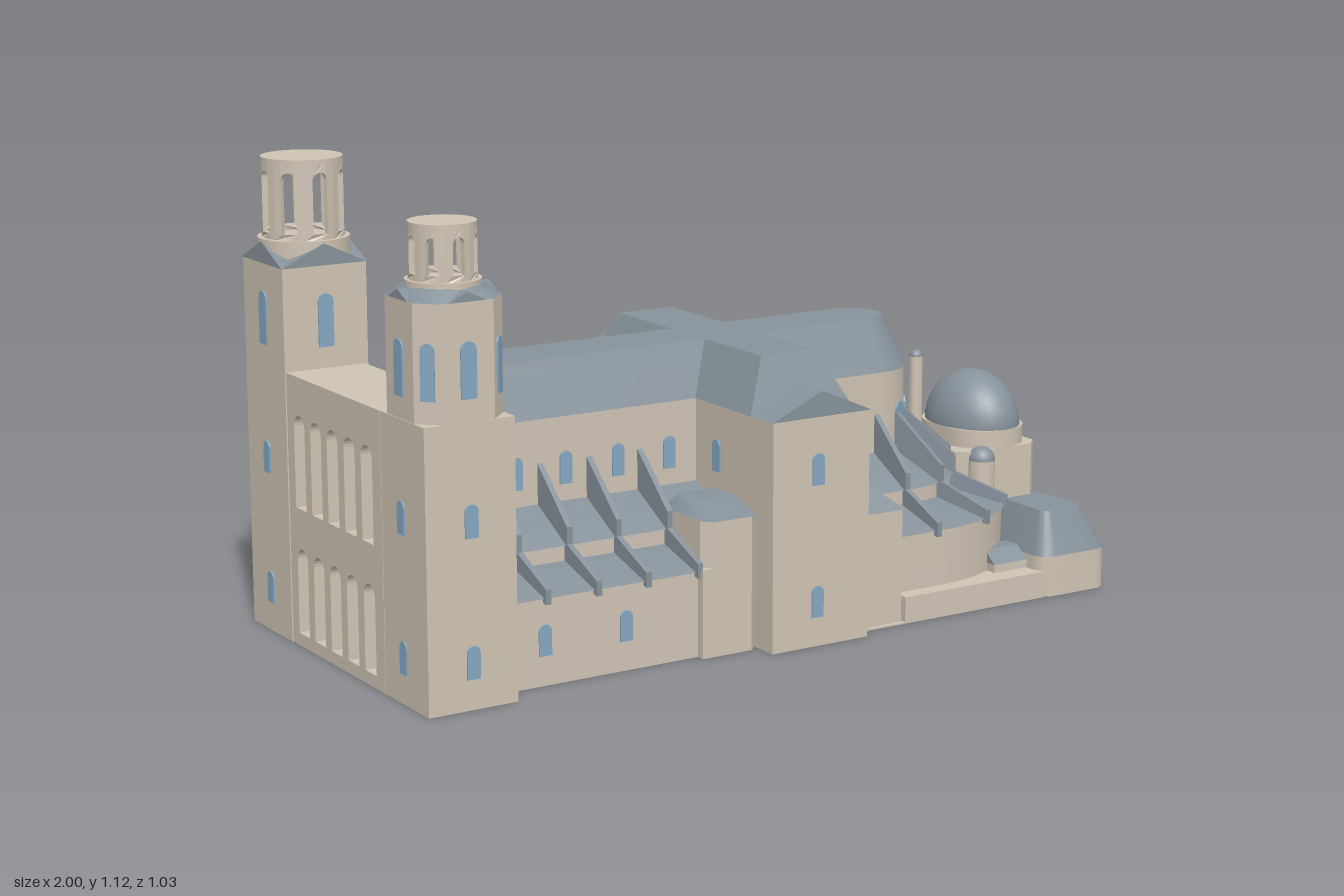
import * as THREE from 'three';
import { toCreasedNormals } from 'three/addons/utils/BufferGeometryUtils.js';

const mat = (color) => new THREE.MeshStandardMaterial({ color, side: THREE.DoubleSide });
const stone = mat(0xcfc4b4), slate = mat(0x87929b), glass = mat(0x86a8c2);

// Ground plans: lists of [x, z] running from +x towards +z.
function block(cx, cz, hx, hz, r = 0, n = 1) {
  const pts = [];
  [[1, -1], [1, 1], [-1, 1], [-1, -1]].forEach(([sx, sz], i) => {
    if (!r) return pts.push([cx + sx * hx, cz + sz * hz]);
    for (let k = 0; k <= n; k++) {
      const a = (i - 1 + k / n) * Math.PI / 2;
      pts.push([cx + sx * (hx - r) + r * Math.cos(a), cz + sz * (hz - r) + r * Math.sin(a)]);
    }
  });
  return pts;
}
const round = (cx, cz, r) => block(cx, cz, r, r, r, 8);
const APSE = 0.475;
function stadium(r, west = -0.745) {
  const pts = [[west, -r]];
  for (let k = 0; k <= 20; k++) {
    const a = (k / 20 - 0.5) * Math.PI;
    pts.push([APSE + r * Math.cos(a), r * Math.sin(a)]);
  }
  return [...pts, [west, r]];
}

// Stack of plans [plan, y] joined by walls and closed on top and bottom.
function loft(...levels) {
  const p = [];
  const at = (l, i) => { const [plan, y] = l, q = plan[i % plan.length]; return [q[0], y, q[1]]; };
  const n = levels[0][0].length;
  for (let l = 0; l + 1 < levels.length; l++) {
    const lo = levels[l], hi = levels[l + 1];
    for (let i = 0; i < n; i++)
      p.push(...at(lo, i), ...at(hi, i), ...at(hi, i + 1), ...at(lo, i), ...at(hi, i + 1), ...at(lo, i + 1));
  }
  for (const [l, top] of [[levels[0], false], [levels[levels.length - 1], true]]) {
    const c = [0, l[1], 0];
    l[0].forEach((q) => { c[0] += q[0] / n; c[2] += q[1] / n; });
    for (let i = 0; i < n; i++) p.push(...c, ...at(l, top ? i + 1 : i), ...at(l, top ? i : i + 1));
  }
  const g = new THREE.BufferGeometry();
  g.setAttribute('position', new THREE.Float32BufferAttribute(p, 3));
  g.computeVertexNormals();
  return toCreasedNormals(g, 0.5);
}

function add(parent, name, geo, material = stone) {
  const m = new THREE.Mesh(geo, material);
  m.name = name;
  parent.add(m);
  return m;
}
const prism = (parent, name, plan, y0, y1) => add(parent, name, loft([plan, y0], [plan, y1]));

function archPath(path, w, y0, y1, x = 0) {
  path.moveTo(x - w / 2, y0);
  path.lineTo(x + w / 2, y0);
  path.lineTo(x + w / 2, y1 - w / 2);
  path.absarc(x, y1 - w / 2, w / 2, 0, Math.PI, false);
  path.closePath();
  return path;
}
function archWindow(parent, x, z, y0, y1, turn, w = 0.032) {
  const geo = new THREE.ExtrudeGeometry(archPath(new THREE.Shape(), w, y0, y1), { depth: 0.006, bevelEnabled: false, curveSegments: 6 });
  const m = add(parent, 'window', geo.translate(0, 0, -0.003), glass);
  m.position.set(x, 0, z);
  m.rotation.y = turn;
}

// Round open belfry: eight arched panels bent onto a cylinder.
function belfry(parent, cx, cz, r, y0, y1, open0, open1, w) {
  const g = new THREE.Group();
  g.name = 'belfry';
  g.position.set(cx, 0, cz);
  parent.add(g);
  const half = Math.PI * r / 8, s = new THREE.Shape(), n = 4;
  s.moveTo(-half, y0);
  for (let k = 1; k <= n; k++) s.lineTo(-half + 2 * half * k / n, y0);
  for (let k = 0; k <= n; k++) s.lineTo(half - 2 * half * k / n, y1);
  s.holes.push(archPath(new THREE.Path(), w, open0, open1));
  const geo = new THREE.ExtrudeGeometry(s, { depth: 0.012, bevelEnabled: false, curveSegments: 6 });
  const pos = geo.attributes.position;
  for (let i = 0; i < pos.count; i++) {
    const a = pos.getX(i) / r, rad = r - 0.012 + pos.getZ(i);
    pos.setXYZ(i, Math.sin(a) * rad, pos.getY(i), Math.cos(a) * rad);
  }
  geo.computeVertexNormals();
  for (let i = 0; i < 8; i++) add(g, 'belfryPanel', geo).rotation.y = i * Math.PI / 4;
  prism(g, 'belfryCap', round(0, 0, r), y1 - 0.012, y1);
}

// Low dome on a round turret.
function domedTurret(parent, x, z, r, y0, y1) {
  prism(parent, 'turret', round(x, z, r), y0, y1);
  add(parent, 'turretDome', new THREE.SphereGeometry(r, 20, 8, 0, Math.PI * 2, 0, Math.PI / 2), slate).position.set(x, y1, z);
}

export function createModel() {
  const model = new THREE.Group();
  model.name = 'church';
  const c = new THREE.Group();
  c.name = 'churchBody';
  c.position.set(-0.0045, 0, -0.038);
  c.rotation.y = 0.12;
  model.add(c);
  const H = Math.PI / 2;

  // Nave, aisles and rounded ambulatory, in steps from the outside in
  prism(c, 'aisleWall', stadium(0.378), 0, 0.205);
  add(c, 'lowerAisleRoof', loft([stadium(0.385), 0.203], [stadium(0.25), 0.24]), slate);
  prism(c, 'galleryWall', stadium(0.25), 0.2, 0.28);
  add(c, 'upperAisleRoof', loft([stadium(0.258), 0.277], [stadium(0.13), 0.345]), slate);
  prism(c, 'naveWall', stadium(0.13), 0, 0.545);
  add(c, 'naveRoof', loft([stadium(0.135), 0.545], [stadium(0.075, -0.66), 0.67]), slate);

  // Transept with gabled ends
  prism(c, 'transeptWall', block(0.07, 0, 0.134, 0.455), 0, 0.545);
  add(c, 'transeptRoof', loft([block(0.07, 0, 0.14, 0.37), 0.545], [block(0.07, 0, 0.075, 0.315), 0.67]), slate);
  add(c, 'gableRoof', loft([block(0.07, 0, 0.137, 0.457), 0.545], [block(0.07, 0, 0.001, 0.457), 0.605]), slate);

  // Flying buttresses
  const fin = (pts) => new THREE.ExtrudeGeometry(new THREE.Shape(pts.map((q) => new THREE.Vector2(...q))), { depth: 0.014, bevelEnabled: false }).translate(0, 0, -0.007);
  const upperFin = fin([[0.12, 0.34], [0.262, 0.25], [0.262, 0.32], [0.12, 0.45]]);
  const lowerFin = fin([[0.25, 0.22], [0.392, 0.19], [0.392, 0.225], [0.25, 0.285]]);
  const buttress = (x, turn) => [upperFin, lowerFin].forEach((geo, i) => {
    const m = add(c, i ? 'lowerButtress' : 'flyingButtress', geo, slate);
    m.position.x = x;
    m.rotation.y = turn;
  });
  for (const s of [1, -1]) {
    for (const x of [-0.617, -0.487, -0.357, -0.22, 0.31, 0.46]) buttress(x, -s * H);
    for (const a of [18, 42, 66]) buttress(APSE, s * a * Math.PI / 180);

    // Windows of nave, aisles and transept
    for (const x of [-0.68, -0.55, -0.42, -0.28, -0.14, 0.26, 0.385]) archWindow(c, x, s * 0.131, 0.385, 0.462, 0);
    for (const x of [-0.62, -0.41]) archWindow(c, x, s * 0.379, 0.07, 0.142, 0);
    for (const y of [0.07, 0.385]) archWindow(c, 0.06, s * 0.456, y, y + 0.075, 0);
    for (const x of [-0.065, 0.205]) archWindow(c, x, s * 0.22, 0.385, 0.462, H);
    for (const a of [-s * 0.5, -s * 1.05])
      archWindow(c, APSE + 0.131 * Math.cos(a), -0.131 * Math.sin(a), 0.385, 0.462, a + H);

    // Annexes in the corners of the transept
    prism(c, 'eastAnnex', block(0.265, s * 0.285, 0.07, 0.125), 0, 0.28);
    add(c, 'eastAnnexRoof', loft([block(0.265, s * 0.285, 0.075, 0.13), 0.28], [block(0.225, s * 0.265, 0.035, 0.085), 0.345]), slate);
    prism(c, 'westAnnex', block(-0.135, s * 0.3, 0.075, 0.1, 0.025), 0, 0.32);
    add(c, 'westAnnexRoof', loft([block(-0.135, s * 0.3, 0.078, 0.104, 0.025), 0.32], [block(-0.12, s * 0.26, 0.06, 0.05, 0.02), 0.345]), slate);
    prism(c, 'annexPier', block(-0.2, s * 0.375, 0.018, 0.025), 0, 0.21);
  }

  // West front: solid block with two rows of recessed openings
  prism(c, 'westBlock', block(-0.83, 0, 0.085, 0.24), 0, 0.64);
  const face = new THREE.Shape([[-0.24, 0], [0.24, 0], [0.24, 0.64], [-0.24, 0.64]].map((q) => new THREE.Vector2(...q)));
  for (const [y0, y1] of [[0.03, 0.235], [0.33, 0.55]])
    for (let i = -2; i <= 2; i++) face.holes.push(archPath(new THREE.Path(), 0.055, y0, y1, i * 0.085));
  const front = add(c, 'westFront', new THREE.ExtrudeGeometry(face, { depth: 0.034, bevelEnabled: false, curveSegments: 6 }));
  front.position.x = -0.912;
  front.rotation.y = -H;

  // North tower: square with four gables
  const nx = -0.843, nz = -0.338;
  prism(c, 'northTower', block(nx, nz, 0.106, 0.106), 0, 0.88);
  add(c, 'northTowerGable', loft([block(nx, nz, 0.108, 0.108), 0.88], [block(nx, nz, 0.108, 0.001), 0.93]), slate);
  add(c, 'northTowerGable', loft([block(nx, nz, 0.108, 0.108), 0.88], [block(nx, nz, 0.001, 0.108), 0.93]), slate);
  prism(c, 'northTowerRing', round(nx, nz, 0.107), 0.895, 0.936);
  belfry(c, nx, nz, 0.095, 0.936, 1.122, 0.95, 1.092, 0.036);

  // South tower: square below, chamfered above, with a ring of small roofs
  const sx = -0.835, sz = 0.333;
  prism(c, 'southTowerBase', block(sx, sz, 0.11, 0.11), 0, 0.64);
  const chamfered = block(sx, sz, 0.108, 0.108, 0.045);
  prism(c, 'southTower', chamfered, 0.64, 0.9);
  add(c, 'southTowerRoof', loft([chamfered, 0.9], [block(sx, sz, 0.08, 0.08, 0.04), 0.925]), slate);
  for (let i = 0; i < 4; i++) {
    const gable = add(c, 'southTowerGable', loft([block(0.09, 0, 0.02, 0.045), 0.9], [block(0.09, 0, 0.02, 0.001), 0.922]), slate);
    gable.position.set(sx, 0, sz);
    gable.rotation.y = i * H;
  }
  prism(c, 'southTowerRing', round(sx, sz, 0.084), 0.905, 0.936);
  belfry(c, sx, sz, 0.075, 0.936, 1.06, 0.95, 1.032, 0.028);

  // Tower windows
  for (let i = 0; i < 4; i++) {
    const a = i * H, dx = Math.sin(a), dz = Math.cos(a);
    archWindow(c, nx + dx * 0.107, nz + dz * 0.107, 0.69, 0.815, a, 0.038);
    archWindow(c, sx + dx * 0.109, sz + dz * 0.109, 0.69, 0.815, a, 0.038);
    const b = a + H / 2;
    archWindow(c, sx + Math.sin(b) * 0.122, sz + Math.cos(b) * 0.122, 0.69, 0.815, b, 0.032);
    for (const y of [0.07, 0.385]) {
      archWindow(c, sx + dx * 0.111, sz + dz * 0.111, y, y + 0.075, a);
      archWindow(c, nx + dx * 0.107, nz + dz * 0.107, y, y + 0.075, a);
    }
  }

  // Domed east chapel with a small bowed niche
  const ex = 0.855;
  prism(c, 'domeChapel', block(0.842, 0, 0.125, 0.14, 0.03), 0, 0.31);
  prism(c, 'domeDrum', block(ex, 0, 0.105, 0.14, 0.1, 8), 0.31, 0.355);
  const dome = add(c, 'dome', new THREE.SphereGeometry(1, 32, 12, 0, Math.PI * 2, 0, H), slate);
  dome.scale.set(0.107, 0.132, 0.14);
  dome.position.set(ex, 0.355, 0);
  prism(c, 'niche', round(0.962, 0, 0.046), 0.115, 0.212);
  add(c, 'nicheDome', new THREE.SphereGeometry(0.046, 20, 8, 0, Math.PI * 2, 0, H), slate).position.set(0.962, 0.212, 0);

  // Turrets and slim pinnacles around the apse
  domedTurret(c, 0.712, 0, 0.048, 0, 0.285);
  for (const s of [1, -1]) {
    domedTurret(c, 0.775, s * 0.145, 0.034, 0, 0.29);
    domedTurret(c, 0.625, s * 0.066, 0.017, 0.2, 0.558);
  }

  // South-east chapel with hipped roof, link wall and low plinths
  prism(c, 'cornerChapel', block(0.855, 0.305, 0.105, 0.12, 0.04, 5), 0, 0.1);
  add(c, 'cornerChapelRoof', loft([block(0.855, 0.305, 0.105, 0.12, 0.04, 5), 0.1], [block(0.845, 0.305, 0.06, 0.08, 0.02, 5), 0.205]), slate);
  prism(c, 'linkWall', block(0.855, 0.16, 0.1, 0.06), 0, 0.1);
  prism(c, 'southPlinth', block(0.55, 0.35, 0.21, 0.07), 0, 0.065);
  prism(c, 'plinthHut', block(0.7, 0.325, 0.05, 0.04), 0, 0.085);
  add(c, 'plinthHutRoof', loft([block(0.7, 0.325, 0.05, 0.04), 0.085], [block(0.7, 0.305, 0.05, 0.02), 0.115]), slate);
  prism(c, 'groundSlab', stadium(0.42, 0.2), 0, 0.004);

  return model;
}
